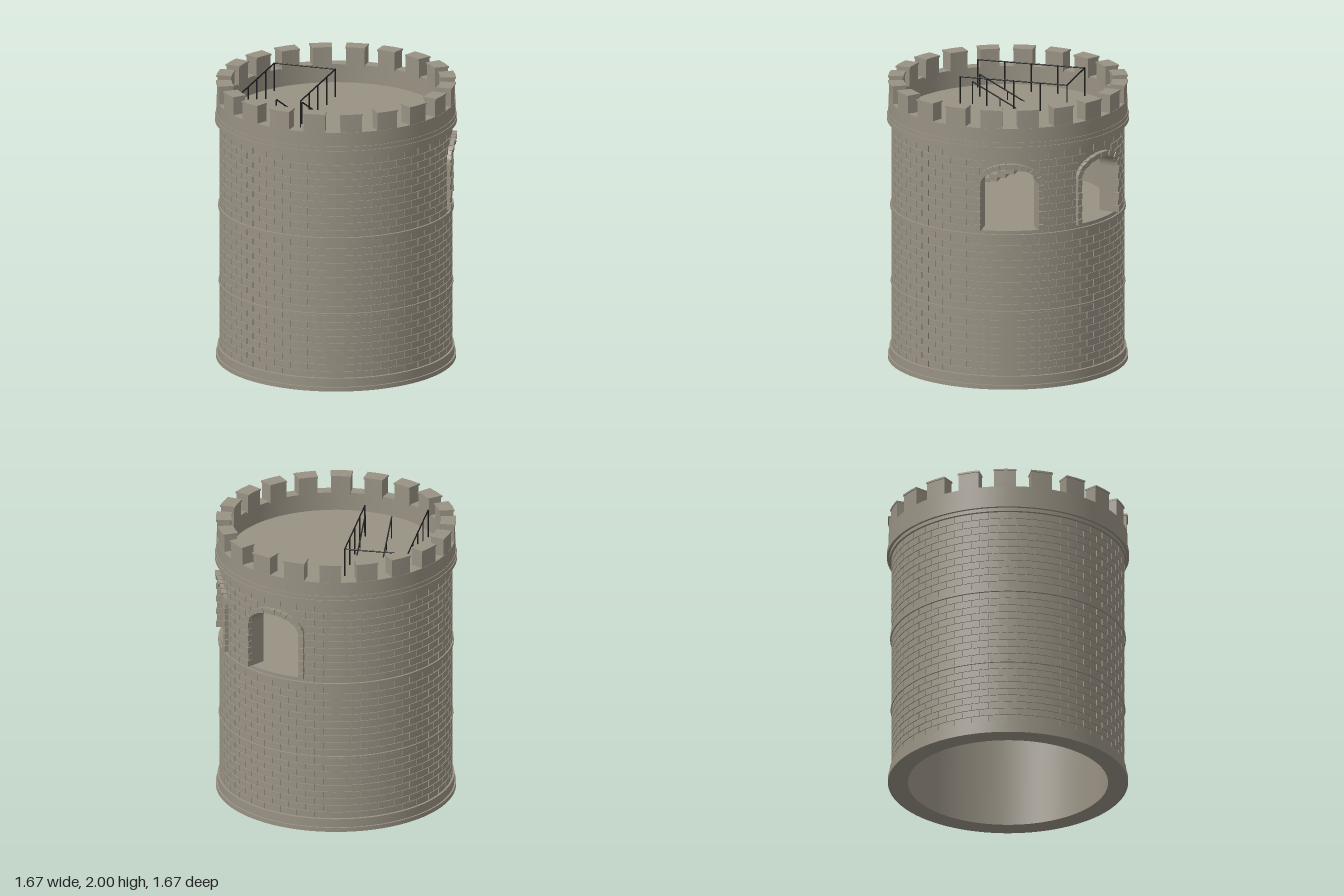
import * as THREE from 'three';
import { mergeGeometries } from 'three/addons/utils/BufferGeometryUtils.js';

const stone = new THREE.MeshStandardMaterial({ color: 0x999284 });
stone.name = 'stone';
const iron = new THREE.MeshStandardMaterial({ color: 0x1c1c1e });
iron.name = 'iron';

const TAU = Math.PI * 2;
const rad = THREE.MathUtils.degToRad;
const lerp = THREE.MathUtils.lerp;

// Window dimensions: half widths are angles around the tower axis
const WINDOWS = [rad(106.7), rad(158.1)];
const SILL = 1.13, SPRING = 1.46, ARCH_TOP = 1.63;
const INNER = { half: 0.247, rise: 0.12 };
const OUTER = { half: 0.29, rise: 0.155 };

// Curved block: place(u, v) gives [angle, height]; r0 to r1 is its depth
function block(place, r0, r1, segs = 1, vSegs = 1) {
  const g = new THREE.BoxGeometry(1, 1, 1, segs, vSegs, 1);
  const p = g.attributes.position;
  for (let i = 0; i < p.count; i++) {
    const [a, y] = place(p.getX(i) + 0.5, p.getY(i) + 0.5);
    const r = p.getZ(i) > 0 ? r1 : r0;
    p.setXYZ(i, r * Math.sin(a), y, r * Math.cos(a));
  }
  g.computeVertexNormals();
  return g;
}
const span = (a0, a1, y0, y1) => (u, v) => [lerp(a0, a1, u), lerp(y0, y1, v)];
const ring = (y0, y1, r0, r1) => block(span(0, TAU, y0, y1), r0, r1, 128);

function add(parent, name, geometries, material = stone) {
  const list = Array.isArray(geometries) ? geometries : [geometries];
  const mesh = new THREE.Mesh(list.length > 1 ? mergeGeometries(list) : list[0], material);
  mesh.name = name;
  parent.add(mesh);
  return mesh;
}

// Half angle covered by a window frame at height y
function frameHalf(y) {
  if (y < SILL || y > SPRING + OUTER.rise) return 0;
  const t = Math.max(0, (y - SPRING) / OUTER.rise);
  return OUTER.half * Math.sqrt(1 - t * t);
}

// Courses of bricks, trimmed where they meet a window
function bricks(y0, y1, rows) {
  const out = [], pitch = (y1 - y0) / rows, count = 40, step = TAU / count, gap = 0.005;
  for (let row = 0; row < rows; row++) {
    const low = y0 + row * pitch + 0.003, high = low + pitch - 0.006;
    const half = Math.max(frameHalf(low), frameHalf((low + high) / 2));
    for (let i = 0; i < count; i++) {
      let a0 = (i + (row % 2) / 2) * step + gap, a1 = a0 + step - 2 * gap;
      if (half) for (const c of WINDOWS) {
        if (a1 <= c - half || a0 >= c + half) continue;
        if ((a0 + a1) / 2 < c) a1 = Math.min(a1, c - half);
        else a0 = Math.max(a0, c + half);
      }
      if (a1 - a0 > 0.015) out.push(block(span(a0, a1, low, high), 0.79, 0.804, 2));
    }
  }
  return out;
}

// Straight round bar between two points
function bar(a, b, r = 0.005) {
  const A = new THREE.Vector3(...a), B = new THREE.Vector3(...b);
  const dir = B.clone().sub(A);
  const g = new THREE.CylinderGeometry(r, r, dir.length(), 8);
  g.applyQuaternion(new THREE.Quaternion().setFromUnitVectors(new THREE.Vector3(0, 1, 0), dir.normalize()));
  return g.translate(...A.add(B).multiplyScalar(0.5).toArray());
}

function box(x0, x1, y0, y1, z0, z1) {
  return new THREE.BoxGeometry(x1 - x0, y1 - y0, z1 - z0)
    .translate((x0 + x1) / 2, (y0 + y1) / 2, (z0 + z1) / 2);
}

export function createModel() {
  const tower = new THREE.Group();
  tower.name = 'roundTower';

  // Wall, pierced by the two arched windows
  const [w0, w1] = WINDOWS, h = INNER.half, ri = 0.69, ro = 0.797;
  add(tower, 'lowerWall', ring(0, SILL, ri, ro));
  add(tower, 'upperWall', ring(ARCH_TOP, 1.74, ri, ro));
  add(tower, 'windowLevelWall', [
    block(span(w0 + h, w1 - h, SILL, ARCH_TOP), ri, ro, 16),
    block(span(w1 + h, w0 - h + TAU, SILL, ARCH_TOP), ri, ro, 96),
    ...WINDOWS.map(c => block((u, v) => [
      c - h * Math.cos(Math.PI * u),
      lerp(SPRING + INNER.rise * Math.sin(Math.PI * u), ARCH_TOP, v),
    ], ri, ro, 24)),
  ]);

  // Brick courses between the bands
  add(tower, 'lowerBricks', bricks(0.09, 0.542, 9));
  add(tower, 'middleBricks', bricks(0.556, 1.08, 10));
  add(tower, 'upperBricks', bricks(1.105, 1.685, 11));

  // Plinth, bands, cornice and parapet: bottom, top, inner and outer radius
  const rings = {
    plinthFoot: [0, 0.03, 0.70, 0.828],
    plinth: [0.03, 0.09, 0.75, 0.816],
    lowerBand: [0.542, 0.556, 0.75, 0.809],
    upperBand: [1.08, 1.105, 0.75, 0.812],
    corniceFoot: [1.685, 1.71, 0.75, 0.817],
    cornice: [1.71, 1.74, 0.75, 0.835],
    corniceTop: [1.74, 1.77, 0.74, 0.829],
    parapet: [1.77, 1.87, 0.74, 0.824],
  };
  for (const [name, dims] of Object.entries(rings)) add(tower, name, ring(...dims));

  // Battlements
  const merlons = [], half = rad(5.2);
  for (let i = 0; i < 20; i++) {
    const a = rad(18 * i + 7.8);
    merlons.push(block(span(a - half, a + half, 1.86, 1.988), 0.728, 0.822, 2));
    merlons.push(block(span(a - half - 0.004, a + half + 0.004, 1.988, 2), 0.722, 0.829, 2));
  }
  add(tower, 'merlons', merlons);

  // Window surrounds: stacked jamb stones and an arch of wedge stones
  const onArch = (c, e, t) => [c - e.half * Math.cos(t), SPRING + e.rise * Math.sin(t)];
  for (const c of WINDOWS) {
    const stones = [];
    const n = 7, pitch = (SPRING - SILL) / n;
    for (const side of [-1, 1]) for (let i = 0; i < n; i++) {
      const edges = [c + side * INNER.half, c + side * OUTER.half].sort((a, b) => a - b);
      const y = SILL + i * pitch;
      stones.push(block(span(...edges, y + 0.002, y + pitch - 0.002), 0.77, i % 2 ? 0.829 : 0.834));
    }
    const wedges = 15;
    for (let i = 0; i < wedges; i++) {
      const t0 = Math.PI * (i + 0.04) / wedges, t1 = Math.PI * (i + 0.96) / wedges;
      stones.push(block((u, v) => {
        const t = lerp(t0, t1, u), p = onArch(c, INNER, t), q = onArch(c, OUTER, t);
        return [lerp(p[0], q[0], v), lerp(p[1], q[1], v)];
      }, 0.77, i % 2 ? 0.834 : 0.829, 2));
    }
    add(tower, 'windowSurround', stones);
  }

  // Floor at window level and roof deck
  add(tower, 'windowFloor', new THREE.CylinderGeometry(0.7, 0.7, 0.06, 96).translate(0, 1.1, 0));
  add(tower, 'roofDeck', new THREE.CylinderGeometry(0.76, 0.76, 0.07, 96).translate(0, 1.705, 0));

  // Two flights of steps joined by a landing
  const steps = [], count = 10, run = 0.06, rise = 0.03;
  for (let i = 0; i < count; i++) {
    const z = 0.3 - i * run, y = SILL + (i + 1) * rise;
    steps.push(box(-0.56, -0.36, y - 0.05, y, z - run, z));
    const z2 = -0.3 + i * run, y2 = 1.43 + (i + 1) * rise;
    steps.push(box(-0.335, -0.15, y2 - 0.05, y2, z2, z2 + run));
  }
  steps.push(box(-0.56, -0.15, 1.41, 1.44, -0.4, -0.3));
  add(tower, 'stairs', steps);

  // Sloping stair rails
  const stairRails = [];
  const flights = [
    { xs: [-0.55, -0.37], y: z => 1.29 + (0.3 - z) * 0.5 },
    { xs: [-0.335, -0.15], y: z => 1.59 + (z + 0.3) * 0.53 },
  ];
  for (const f of flights) for (const x of f.xs) {
    stairRails.push(bar([x, f.y(-0.3), -0.3], [x, f.y(0.3), 0.3]));
    for (const z of [-0.298, -0.1, 0.1, 0.298])
      stairRails.push(bar([x, f.y(z) - 0.16, z], [x, f.y(z), z], 0.004));
  }
  add(tower, 'stairRails', stairRails, iron);

  // Railing on the roof deck, open toward the front
  const top = 1.94, xl = -0.575, xr = -0.132, zb = -0.385, zf = 0.38;
  const railing = [
    bar([xl, top, zf], [xl, top, zb]),
    bar([xl, top, zb], [xr, top, zb]),
    bar([xr, top, zb], [xr, top, zf]),
  ];
  for (const x of [xl, xr]) for (let i = 0; i < 5; i++) {
    const z = lerp(zb, zf, i / 4);
    railing.push(bar([x, 1.735, z], [x, top + 0.004, z]));
  }
  add(tower, 'roofRailing', railing, iron);

  return tower;
}
